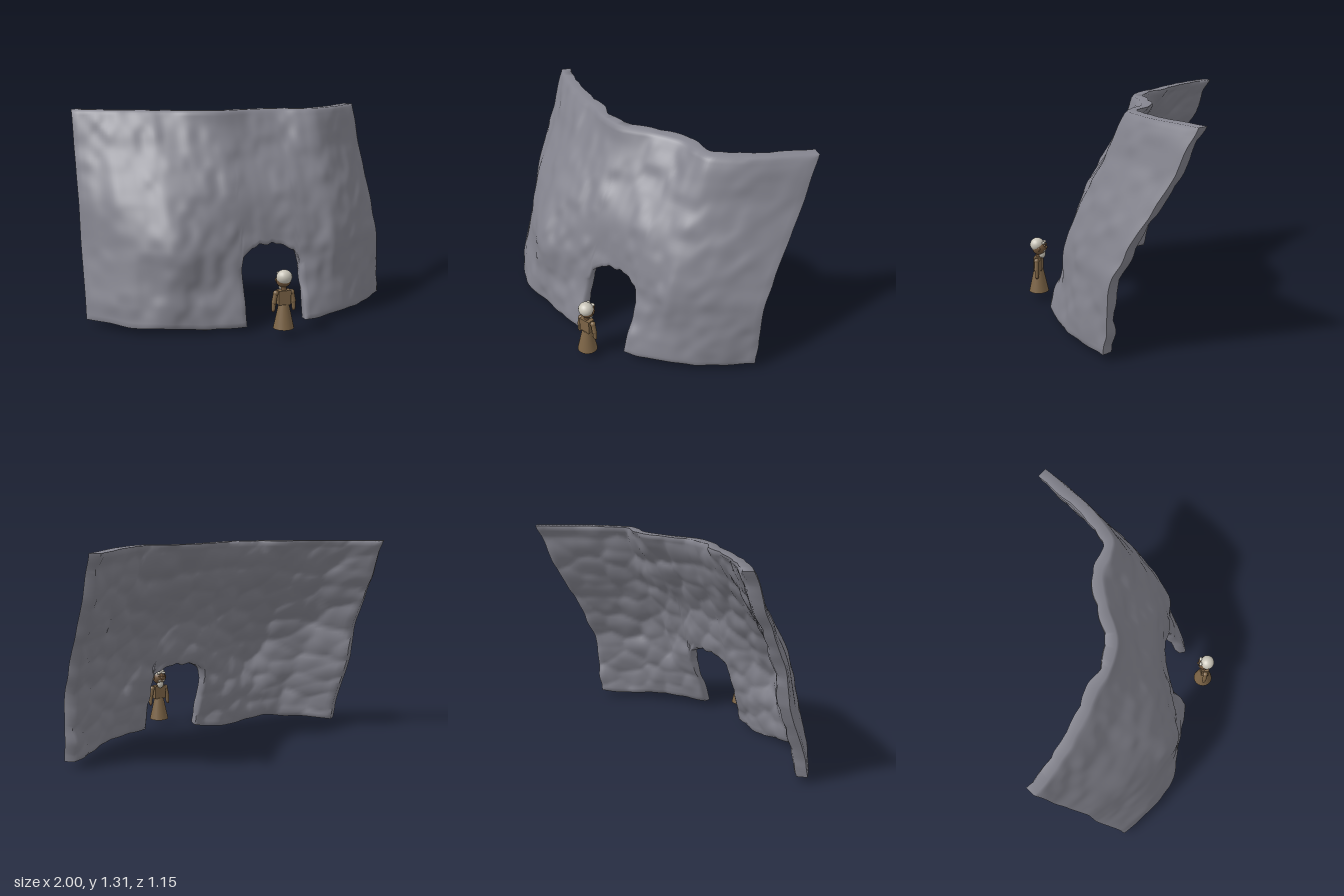
import * as THREE from 'three';
import { toCreasedNormals } from 'three/addons/utils/BufferGeometryUtils.js';

const mat = (name, color) => {
  const m = new THREE.MeshStandardMaterial({ color });
  m.name = name;
  return m;
};

// Depth of the wall's front face: one row of z values per height
const XS = [-1, -0.8, -0.65, -0.5, -0.15, 0.1, 0.3, 0.43, 0.55, 0.75, 1];
const YS = [0.04, 0.16, 0.3, 0.5, 0.8, 1.05, 1.2, 1.31];
const DEPTH = [
  [-0.01, 0.20, 0.295, 0.32, 0.385, 0.40, 0.40, 0.36, 0.31, 0.19, -0.045],
  [-0.05, 0.18, 0.27, 0.315, 0.355, 0.35, 0.365, 0.33, 0.29, 0.18, -0.05],
  [-0.10, 0.13, 0.23, 0.30, 0.31, 0.29, 0.31, 0.285, 0.26, 0.15, -0.06],
  [-0.175, 0.07, 0.20, 0.30, 0.27, 0.23, 0.25, 0.25, 0.24, 0.12, -0.095],
  [-0.25, -0.03, 0.06, 0.14, 0.185, 0.17, 0.165, 0.15, 0.13, 0.00, -0.25],
  [-0.37, -0.20, -0.11, -0.035, 0.045, 0.02, 0.01, 0.01, 0.00, -0.14, -0.40],
  [-0.43, -0.275, -0.19, -0.125, -0.035, -0.065, -0.085, -0.065, -0.06, -0.205, -0.455],
  [-0.48, -0.335, -0.26, -0.20, -0.065, -0.125, -0.16, -0.125, -0.11, -0.26, -0.52],
];
const DOOR_L = -0.08, DOOR_R = 0.3, SPRING = 0.37, TOP = 1.314;

// Smooth curve through (ks, vs)
function spline(ks, vs, t) {
  const n = ks.length;
  let i = 0;
  while (i < n - 2 && t > ks[i + 1]) i++;
  const slope = (k) => {
    const a = Math.max(k - 1, 0), b = Math.min(k + 1, n - 1);
    return (vs[b] - vs[a]) / (ks[b] - ks[a]);
  };
  const h = ks[i + 1] - ks[i], s = Math.min(Math.max((t - ks[i]) / h, 0), 1);
  const s2 = s * s, s3 = s2 * s;
  return (2 * s3 - 3 * s2 + 1) * vs[i] + (s3 - 2 * s2 + s) * h * slope(i)
    + (3 * s2 - 2 * s3) * vs[i + 1] + (s3 - s2) * h * slope(i + 1);
}
const depth = (x, y) => spline(YS, DEPTH.map((row) => spline(XS, row, x)), y);

// Seeded noise: soft lumps and rounded cells
const hash = (i, j) => {
  const s = Math.sin(i * 127.1 + j * 311.7) * 43758.5453;
  return s - Math.floor(s);
};
function lumps(x, y) {
  const i = Math.floor(x), j = Math.floor(y);
  const ease = (t) => t * t * (3 - 2 * t);
  const u = ease(x - i), v = ease(y - j), mix = THREE.MathUtils.lerp;
  return mix(mix(hash(i, j), hash(i + 1, j), u), mix(hash(i, j + 1), hash(i + 1, j + 1), u), v) - 0.5;
}
function cobbles(x, y) {
  let best = 1;
  const ci = Math.floor(x), cj = Math.floor(y);
  for (let i = ci - 1; i <= ci + 1; i++) for (let j = cj - 1; j <= cj + 1; j++) {
    const dx = i + hash(i, j) - x, dy = j + hash(j + 9, i) - y;
    best = Math.min(best, dx * dx + dy * dy);
  }
  return 0.2 - best;
}

// Height of the ragged arch over the doorway
function archHeight(x) {
  if (x <= DOOR_L || x >= DOOR_R) return SPRING;
  const t = (x - (DOOR_L + DOOR_R) / 2) / ((DOOR_R - DOOR_L) / 2);
  return SPRING + 0.138 * Math.sqrt(1 - t * t) + 0.026 * lumps(x * 45, 3);
}

function wallGeometry() {
  // Columns line up with the door jambs, rows with the arch
  const cols = [];
  const span = (a, b, n) => { for (let k = 0; k < n; k++) cols.push(a + ((b - a) * k) / n); };
  span(-1, DOOR_L, 54); span(DOOR_L, DOOR_R, 24); span(DOOR_R, 1, 42); cols.push(1);
  const nx = cols.length - 1, low = 20, ny = low + 54;
  const kept = (i, j) => i >= 0 && j >= 0 && i < nx && j < ny && !(j < low && i >= 54 && i < 78);
  const pos = [], idx = [], half = (nx + 1) * (ny + 1);
  const at = (i, j) => j * (nx + 1) + i;

  for (const back of [0, 1]) for (let j = 0; j <= ny; j++) for (let i = 0; i <= nx; i++) {
    const x = cols[i], arch = archHeight(x);
    const sag = Math.exp(-(((x + 0.28) / 0.18) ** 2));
    const base = 0.043 + 0.012 * lumps(x * 8, 7) - sag * (back ? 0.045 : 0.022);
    const y = j < low ? base + ((arch - base) * j) / low : arch + ((TOP - arch) * (j - low)) / (ny - low);
    const rim = !(kept(i, j) && kept(i - 1, j) && kept(i, j - 1) && kept(i - 1, j - 1));
    const inset = rim ? 0.009 : 0;
    const z = depth(x, y) + 0.01 * lumps(x * 7 + 20, y * 7 + 20) + 0.018 * lumps(x * 15, y * 12);
    const e = 0.04, a = Math.max(x - e, -1), b = Math.min(x + e, 1);
    const dz = (depth(b, y) - depth(a, y)) / (b - a), len = Math.hypot(dz, 1);
    const bulge = 0.02 * Math.exp(-(((x + 0.25) / 0.12) ** 2) - ((y - 0.15) / 0.12) ** 2);
    const d = back ? 0.077 + bulge + 0.035 * cobbles(x * 7, y * 8) - inset : inset;
    const px = back ? x + (dz / len) * d : x;
    pos.push(px, Math.max(y, 0), z - d / (back ? len : 1));
  }

  const quad = (a, b, c, d) => idx.push(a, b, c, a, c, d);
  for (let j = 0; j < ny; j++) for (let i = 0; i < nx; i++) {
    if (!kept(i, j)) continue;
    const c = [at(i, j), at(i + 1, j), at(i + 1, j + 1), at(i, j + 1)];
    quad(...c);
    quad(c[3] + half, c[2] + half, c[1] + half, c[0] + half);
    // Close the rim wherever there is no neighbouring cell
    [[0, -1], [1, 0], [0, 1], [-1, 0]].forEach(([di, dj], k) => {
      if (kept(i + di, j + dj)) return;
      const p = c[k], q = c[(k + 1) % 4];
      quad(q, p, p + half, q + half);
    });
  }
  const g = new THREE.BufferGeometry();
  g.setAttribute('position', new THREE.Float32BufferAttribute(pos, 3));
  g.setIndex(idx);
  return toCreasedNormals(g, 1.2);
}

function createFigure(robe, skin, hair) {
  const figure = new THREE.Group();
  figure.name = 'figure';
  const add = (name, geo, m, x, y, z) => {
    const mesh = new THREE.Mesh(geo, m);
    mesh.name = name;
    mesh.position.set(x, y, z);
    figure.add(mesh);
    return mesh;
  };
  const ball = (name, m, r, x, y, z, sx = 1, sy = 1, sz = 1) =>
    add(name, new THREE.SphereGeometry(r, 20, 14), m, x, y, z).scale.set(sx, sy, sz);

  // Robe, torso and neck; the figure faces the doorway (-z)
  add('skirt', new THREE.CylinderGeometry(0.031, 0.063, 0.15, 24), robe, 0, 0.127, 0);
  add('feet', new THREE.CylinderGeometry(0.026, 0.026, 0.012, 16), robe, 0, 0.049, -0.008);
  add('torso', new THREE.BoxGeometry(0.076, 0.088, 0.05), robe, 0, 0.242, 0);
  add('neck', new THREE.CylinderGeometry(0.016, 0.016, 0.04, 16), skin, 0, 0.3, 0);

  // Arms and paired features of the face
  for (const s of [-1, 1]) {
    ball('shoulder', robe, 0.017, s * 0.05, 0.27, 0);
    add('upperArm', new THREE.CylinderGeometry(0.014, 0.015, 0.058, 14), robe, s * 0.056, 0.245, 0).rotation.z = s * 0.18;
    ball('elbow', robe, 0.015, s * 0.061, 0.215, 0);
    add('forearm', new THREE.CylinderGeometry(0.014, 0.012, 0.045, 14), robe, s * 0.063, 0.193, -0.002).rotation.z = s * 0.08;
    ball('hand', skin, 0.012, s * 0.065, 0.167, -0.004, 0.9, 1.2, 0.9);
    ball('ear', skin, 0.011, s * 0.043, 0.348, -0.014, 0.6, 1.2, 0.9);
    ball('eyebrow', hair, 0.012, s * 0.018, 0.383, -0.039, 1.2, 0.7, 0.8);
    ball('eye', skin, 0.008, s * 0.017, 0.366, -0.047);
    ball('moustache', hair, 0.012, s * 0.012, 0.33, -0.042, 1.3, 0.7, 0.8);
  }

  // Head
  ball('head', skin, 0.046, 0, 0.346, -0.008);
  ball('hair', hair, 0.048, 0, 0.367, 0.006, 1, 0.92, 0.95);
  ball('nose', skin, 0.01, 0, 0.35, -0.052, 0.8, 1.1, 1);
  ball('beard', hair, 0.025, 0, 0.307, -0.026, 0.95, 1.3, 0.9);
  return figure;
}

export function createModel() {
  const model = new THREE.Group();
  model.name = 'rockWallWithDoorway';
  const wall = new THREE.Mesh(wallGeometry(), mat('stone', 0x83838d));
  wall.name = 'rockWall';
  model.add(wall);
  const figure = createFigure(mat('robeBrown', 0x7c6446), mat('skinBrown', 0x6e543a), mat('hairWhite', 0xc8c4b8));
  figure.position.set(0.107, 0, 0.514);
  model.add(figure);
  return model;
}
